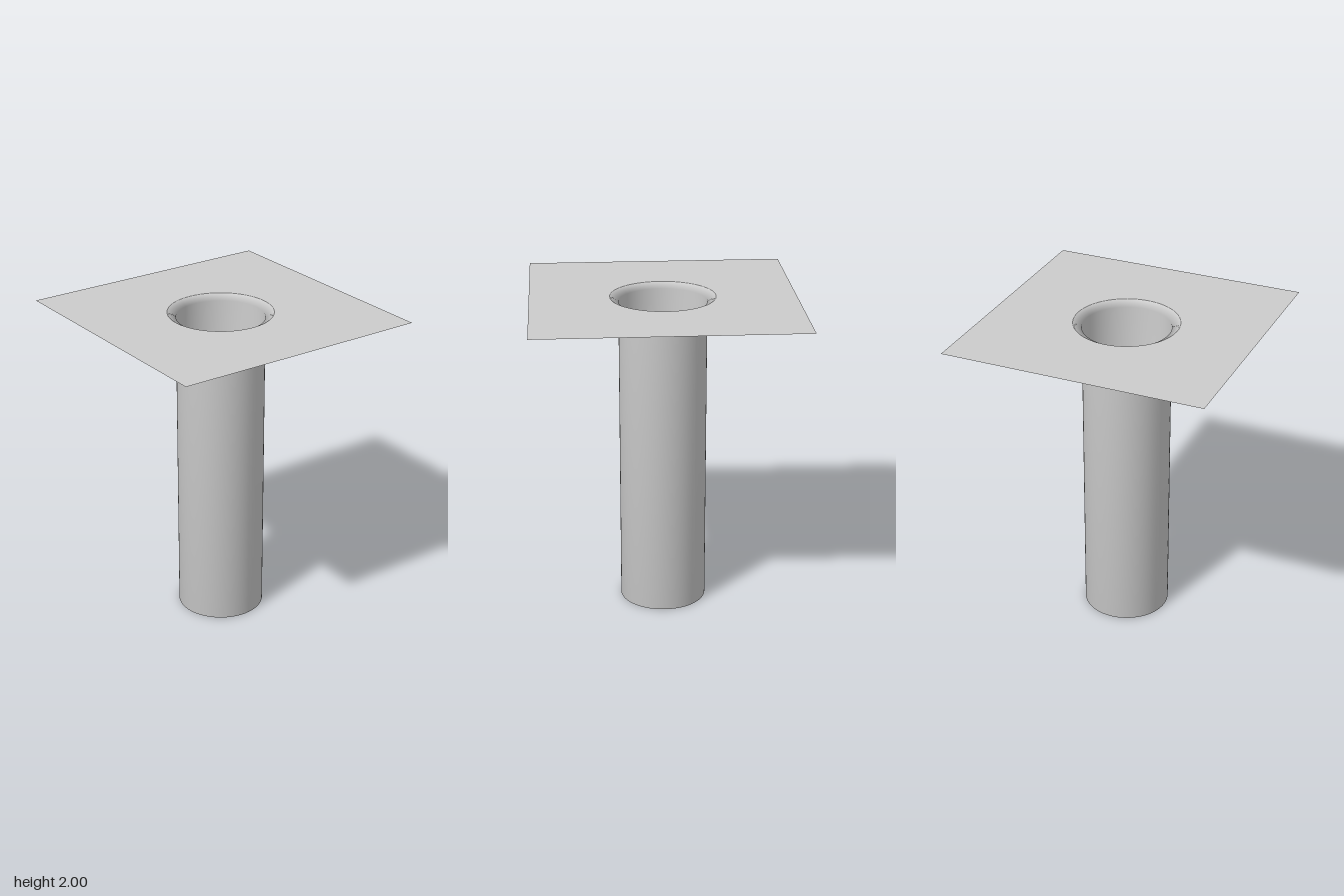
import * as THREE from 'three';

const HALF = 0.815;        // half width of the square plate
const HOLE = 0.325;        // radius of the opening in the plate
const TUBE = 0.272;        // radius of the tube
const TOP = 2;
const FLARE = 0.032;       // height of the flared collar
const SEGMENTS = 64;

export function createModel() {
  const group = new THREE.Group();
  const material = new THREE.MeshStandardMaterial({ color: 0xcccccc, side: THREE.DoubleSide });

  // Thin square plate with a round opening
  const square = new THREE.Shape([
    new THREE.Vector2(-HALF, -HALF),
    new THREE.Vector2(HALF, -HALF),
    new THREE.Vector2(HALF, HALF),
    new THREE.Vector2(-HALF, HALF),
  ]);
  square.holes.push(new THREE.Path().absarc(0, 0, HOLE, 0, Math.PI * 2, true));
  const plateGeometry = new THREE.ShapeGeometry(square, SEGMENTS / 2);
  plateGeometry.rotateX(-Math.PI / 2).translate(0, TOP, 0);
  const plate = new THREE.Mesh(plateGeometry, material);
  plate.name = 'plate';

  // Thin-walled tube: closed floor, straight wall, collar flaring into the plate
  const profile = [
    [0, 0],
    [TUBE, 0],
    [TUBE, TOP - FLARE],
    [HOLE, TOP],
  ].map(([r, y]) => new THREE.Vector2(r, y));
  const tube = new THREE.Mesh(new THREE.LatheGeometry(profile, SEGMENTS), material);
  tube.name = 'tube';

  group.add(plate, tube);
  return group;
}
